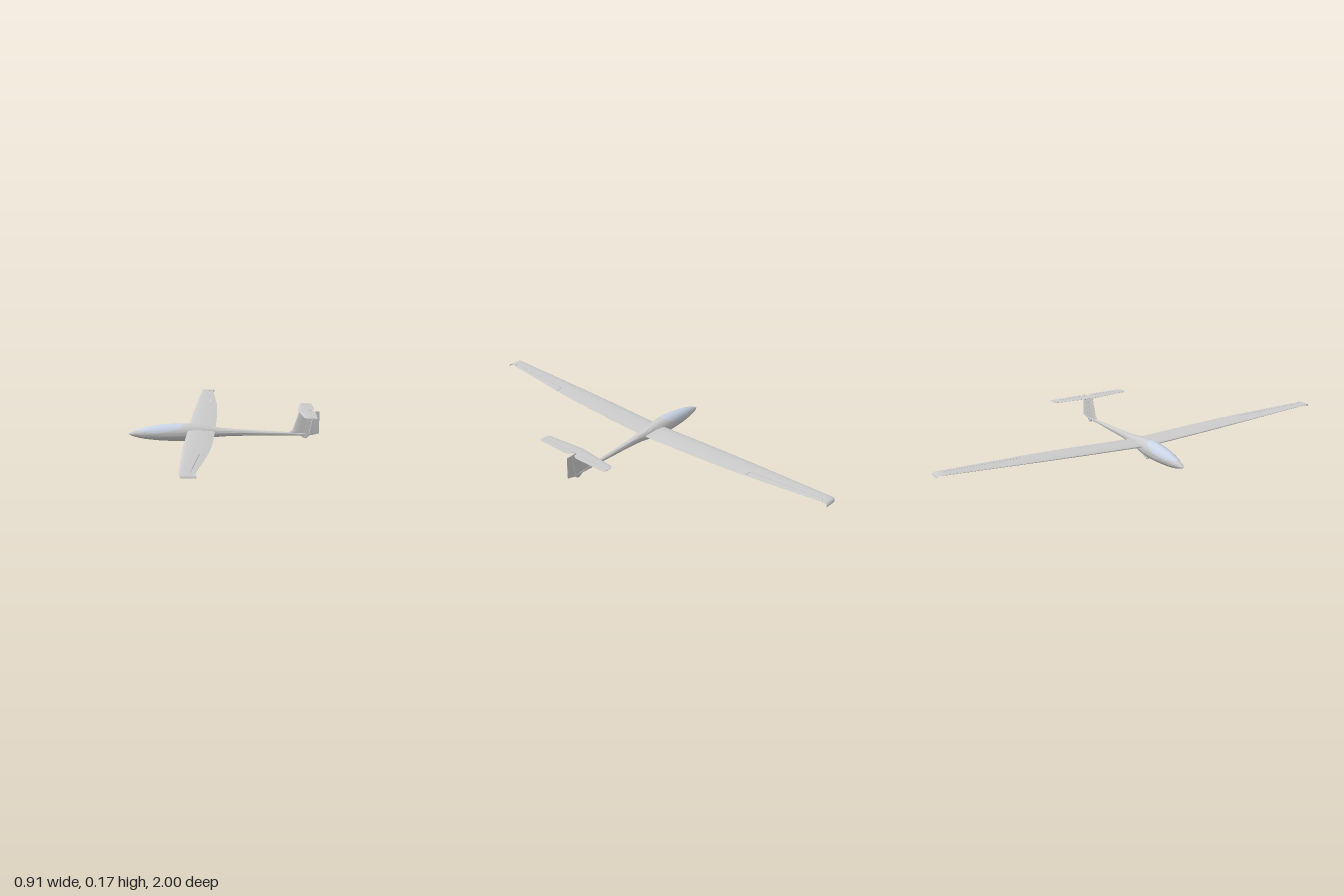
import * as THREE from 'three';
import { toCreasedNormals } from 'three/addons/utils/BufferGeometryUtils.js';

const grey = new THREE.MeshStandardMaterial({ color: 0xcccccc, side: THREE.DoubleSide });
const glass = new THREE.MeshStandardMaterial({ color: 0xc9d3e4, side: THREE.DoubleSide });

// Skin through rings of [x, y, z] points; closed rings get end caps and outward faces
function loft(rings, closed = true, crease = 0.7) {
  const n = rings[0].length, pos = rings.flat(2);
  let tris = [];
  for (let i = 0; i < rings.length - 1; i++) {
    for (let j = 0; j < (closed ? n : n - 1); j++) {
      const a = i * n + j, b = i * n + (j + 1) % n;
      tris.push([a, a + n, b], [b, a + n, b + n]);
    }
  }
  if (closed) {
    const last = (rings.length - 1) * n;
    for (let j = 1; j < n - 1; j++) tris.push([0, j, j + 1], [last, last + j + 1, last + j]);
    const v = (k) => new THREE.Vector3().fromArray(pos, k * 3);
    const volume = tris.reduce((s, [a, b, c]) => s + v(a).dot(v(b).cross(v(c))), 0);
    if (volume < 0) tris = tris.map(([a, b, c]) => [a, c, b]);
  }
  const g = new THREE.BufferGeometry();
  g.setAttribute('position', new THREE.Float32BufferAttribute(pos, 3));
  g.setIndex(tris.flat());
  if (!closed) { g.computeVertexNormals(); return g; }
  return toCreasedNormals(g, crease);
}

// Half thickness of a wing section at chord fraction f, as a share of full thickness
const foil = (f) => 5 * (0.2969 * Math.sqrt(f) - 0.126 * f - 0.3516 * f * f + 0.2843 * f ** 3 - 0.1036 * f ** 4) + 0.01;

// Lifting surface from sections [span, offset, leading x, trailing x, thickness], using chord part f0..f1
function surface(sections, f0, f1, upright = false) {
  const N = 14;
  return loft(sections.map(([s, o, xl, xt, t]) => {
    const ring = [];
    for (let side = 1; side >= -1; side -= 2) {
      for (let i = 0; i <= N; i++) {
        const u = side > 0 ? 1 - i / N : i / N;
        const f = f0 + (f1 - f0) * (f0 === 0 ? u * u : u);
        const x = xl + (xt - xl) * f, h = o + side * t * foil(f);
        ring.push(upright ? [x, s, h] : [x, h, s]);
      }
    }
    return ring;
  }));
}

// Fuselage stations: x, top, bottom, half width
const stations = [
  [-0.455, 0.054, 0.049, 0.003], [-0.44, 0.061, 0.042, 0.011], [-0.4, 0.075, 0.031, 0.021],
  [-0.35, 0.087, 0.024, 0.03], [-0.28, 0.097, 0.019, 0.037], [-0.21, 0.101, 0.018, 0.039],
  [-0.15, 0.1, 0.021, 0.036], [-0.1, 0.094, 0.028, 0.03], [-0.04, 0.085, 0.037, 0.022],
  [0.02, 0.079, 0.042, 0.017], [0.15, 0.071, 0.045, 0.012], [0.3, 0.063, 0.047, 0.008],
  [0.37, 0.059, 0.047, 0.006], [0.41, 0.055, 0.049, 0.003],
];
const hull = [1, 2, 3].map((k) => new THREE.CatmullRomCurve3(stations.map((s) => new THREE.Vector3(s[0], s[k], 0))));
function hullPoint(u, angle, grow = 0) {
  const [top, bottom, half] = hull.map((c) => c.getPoint(u));
  const mid = (top.y + bottom.y) / 2, r = (top.y - bottom.y) / 2 + grow;
  return [top.x, mid + r * Math.cos(angle), (half.y + grow) * Math.sin(angle)];
}
const range = (n, fn) => Array.from({ length: n }, (_, i) => fn(i));

export function createModel() {
  const model = new THREE.Group();
  const add = (name, geometry, material = grey, parent = model) => {
    const mesh = new THREE.Mesh(geometry, material);
    mesh.name = name;
    parent.add(mesh);
    return mesh;
  };

  add('fuselage', loft(range(66, (i) => range(32, (j) => hullPoint(i / 65, j / 32 * Math.PI * 2)))));

  // Canopy: oval patch lying on the upper nose
  add('canopy', loft(range(33, (i) => {
    const k = i / 32, half = 1.4 * Math.sqrt(Math.max(0, 1 - (2 * k - 1) ** 2));
    return range(25, (j) => hullPoint(0.125 + k * 0.29, half * (j / 12 - 1), 0.0007));
  }), false), glass);

  // Wings with a drooped tip and a separate aileron; stabilizer with an elevator
  const wingAt = (s, z, xl, xt, t) => [s * z, 0.067 + 0.041 * z, xl, xt, t];
  for (const s of [1, -1]) {
    const side = new THREE.Group();
    side.name = s > 0 ? 'leftWing' : 'rightWing';
    model.add(side);
    const root = wingAt(s, 0, -0.172, -0.041, 0.016), inner = wingAt(s, 0.3, -0.168, -0.042, 0.014);
    const mid = wingAt(s, 0.45, -0.165, -0.045, 0.012);
    const outer = wingAt(s, 0.6, -0.16, -0.052, 0.01), end = wingAt(s, 0.965, -0.147, -0.083, 0.005);
    add('wingPanel', surface([root, inner, mid, outer], 0, 1), grey, side);
    add('wingOuterPanel', surface([outer, end], 0, 0.67), grey, side);
    add('aileron', surface([wingAt(s, 0.602, -0.16, -0.052, 0.01), wingAt(s, 0.963, -0.147, -0.083, 0.005)], 0.69, 1), grey, side);
    add('wingTip', surface([end, wingAt(s, 0.988, -0.146, -0.083, 0.004),
      [s * 0.996, 0.104, -0.143, -0.08, 0.003], [s, 0.096, -0.138, -0.077, 0.002]], 0, 1), grey, side);

    const tail = new THREE.Group();
    tail.name = s > 0 ? 'leftTailplane' : 'rightTailplane';
    model.add(tail);
    const y = 0.1665;
    add('stabilizer', surface([[0, y, 0.35, 0.431, 0.005], [s * 0.185, y, 0.37, 0.428, 0.004],
      [s * 0.197, y, 0.374, 0.427, 0.003], [s * 0.203, y, 0.384, 0.422, 0.002]], 0, 0.64), grey, tail);
    add('elevator', surface([[s * 0.012, y, 0.35, 0.42, 0.005], [s * 0.035, y, 0.353, 0.431, 0.005],
      [s * 0.185, y, 0.37, 0.428, 0.004], [s * 0.197, y, 0.374, 0.427, 0.003],
      [s * 0.203, y, 0.384, 0.422, 0.002]], 0.66, 1), grey, tail);
  }

  // Fin with a curved root fillet, and the rudder behind a slanted hinge
  add('fin', surface([[0.052, 0, 0.3, 0.405, 0.009], [0.061, 0, 0.3, 0.407, 0.009], [0.064, 0, 0.311, 0.4075, 0.009],
    [0.07, 0, 0.321, 0.4085, 0.009], [0.08, 0, 0.328, 0.4105, 0.009], [0.166, 0, 0.357, 0.426, 0.007]], 0, 0.8, true));
  const rudderRings = [[0.048, 0.404, 0.415], [0.057, 0.406, 0.452], [0.163, 0.427, 0.452]];
  add('rudder', loft(rudderRings.map(([y, a, b]) => [[a, y, 0.003], [b, y, 0.0005], [b, y, -0.0005], [a, y, -0.003]])));
  add('finRear', loft([[0.05, 0.375, 0.403], [0.164, 0.405, 0.426]].map(
    ([y, a, b]) => [[a, y, 0.0035], [b, y, 0.003], [b, y, -0.003], [a, y, -0.0035]])));

  // Tail skid bulge
  const skid = new THREE.Shape([[0.355, 0.052], [0.368, 0.045], [0.378, 0.037], [0.387, 0.034],
    [0.396, 0.037], [0.403, 0.045], [0.406, 0.052]].map(([x, y]) => new THREE.Vector2(x, y)));
  add('tailSkid', new THREE.ExtrudeGeometry(skid, { depth: 0.004, bevelEnabled: true, bevelSize: 0.001,
    bevelThickness: 0.001, bevelSegments: 2 }).translate(0, 0, -0.002));

  // Main wheel between two doors
  const profile = [[0.004, -0.005], [0.015, -0.005], [0.0185, -0.0025], [0.0195, 0], [0.0185, 0.0025], [0.015, 0.005], [0.004, 0.005]];
  const wheel = add('mainWheel', new THREE.LatheGeometry(profile.map(([r, h]) => new THREE.Vector2(r, h)), 28));
  wheel.rotation.x = Math.PI / 2;
  wheel.position.set(-0.162, 0.0195, 0);
  for (const s of [1, -1]) {
    const door = new THREE.Shape([[-0.188, 0.024], [-0.184, 0.012], [-0.178, 0.009], [-0.148, 0.011], [-0.138, 0.026]]
      .map(([x, y]) => new THREE.Vector2(x, y)));
    add('wheelDoor', new THREE.ExtrudeGeometry(door, { depth: 0.001, bevelEnabled: false })
      .translate(0, 0, s * 0.009 - 0.0005));
  }
  return model;
}
